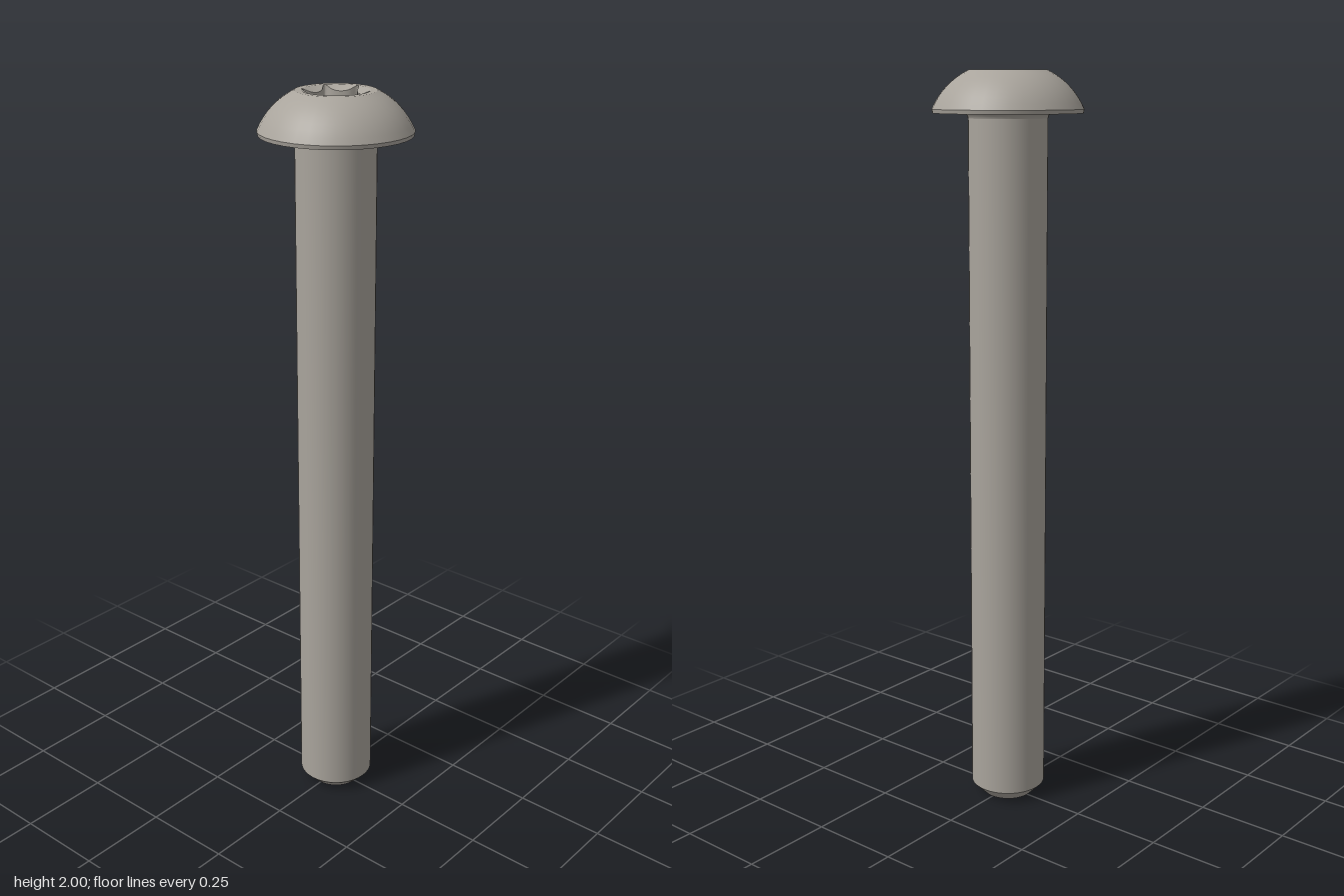
import * as THREE from 'three';

const steel = new THREE.MeshStandardMaterial({ color: 0xa9a49c });
steel.name = 'steel grey';
const SEGMENTS = 36;

function add(group, name, geometry) {
  const mesh = new THREE.Mesh(geometry, steel);
  mesh.name = name;
  group.add(mesh);
}

// Profile is [radius, height], running up the outside and in over the top
function turned(group, name, profile) {
  const points = profile.map(([r, y]) => new THREE.Vector2(r, y));
  add(group, name, new THREE.LatheGeometry(points, SEGMENTS));
}

// Skin between two closed loops of points
function strip(group, name, a, b) {
  const n = a.length;
  const index = [];
  for (let i = 0; i < n; i++) {
    const j = (i + 1) % n;
    index.push(i, j, n + j, i, n + j, n + i);
  }
  const geometry = new THREE.BufferGeometry().setFromPoints([...a, ...b]);
  geometry.setIndex(index);
  geometry.computeVertexNormals();
  add(group, name, geometry);
}

// Half of one star lobe, from valley to tip: [degrees, radius]
const HALF_LOBE = [[0, 0.06], [10, 0.0615], [18, 0.066], [22, 0.071], [25.5, 0.079], [28, 0.0842], [30, 0.085]];

// Six mirrored lobes, with a tip pointing to +z
function starRays() {
  const rays = [];
  for (let k = 0; k < 6; k++) {
    const valley = 30 + k * 60;
    for (let i = 6; i > 0; i--) rays.push([valley - HALF_LOBE[i][0], HALF_LOBE[i][1]]);
    for (let i = 0; i < 6; i++) rays.push([valley + HALF_LOBE[i][0], HALF_LOBE[i][1]]);
  }
  return rays;
}

export function createModel() {
  const model = new THREE.Group();
  model.name = 'buttonHeadScrew';

  // Shank with chamfered end
  turned(model, 'endFace', [[0, 0], [0.07, 0]]);
  turned(model, 'endChamfer', [[0.07, 0], [0.103, 0.033]]);
  turned(model, 'shank', [[0.103, 0.033], [0.103, 1.88]]);
  turned(model, 'neckFillet', [[0.103, 1.88], [0.105, 1.887], [0.112, 1.893]]);

  // Domed head
  const head = new THREE.Group();
  head.name = 'head';
  model.add(head);
  turned(head, 'headUnderside', [[0.112, 1.893], [0.194, 1.893]]);
  turned(head, 'headRim', [[0.194, 1.893], [0.196, 1.903]]);
  const dome = new THREE.QuadraticBezierCurve(
    new THREE.Vector2(0.196, 1.903), new THREE.Vector2(0.167, 1.968), new THREE.Vector2(0.102, 2));
  turned(head, 'dome', dome.getPoints(8).map((p) => [p.x, p.y]));

  // Flat ring, countersink and six-lobed socket with a conical floor
  const rays = starRays();
  const loop = (radius, height) => rays.map(([deg, star]) => {
    const a = THREE.MathUtils.degToRad(deg);
    const r = radius ?? star;
    return new THREE.Vector3(r * Math.sin(a), height(r), r * Math.cos(a));
  });
  const countersink = (r) => 2 - (0.085 - r) * 0.5;
  const floor = (r) => 1.91 + r * 0.25;
  strip(head, 'topRing', loop(0.102, () => 2), loop(0.085, () => 2));
  strip(head, 'countersink', loop(0.085, () => 2), loop(null, countersink));
  strip(head, 'socketWall', loop(null, countersink), loop(null, floor));
  strip(head, 'socketFloor', loop(null, floor), loop(0, floor));

  return model;
}
